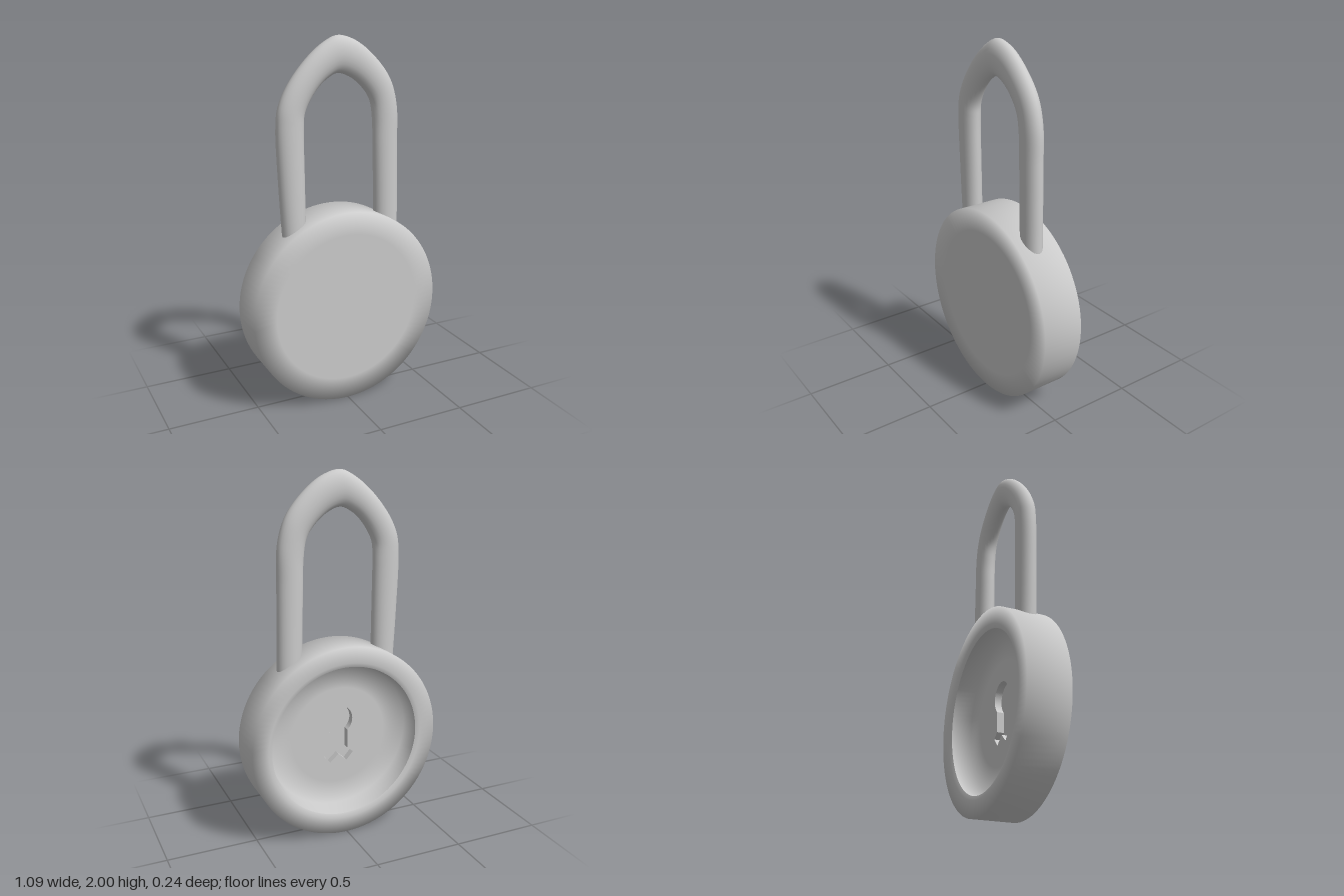
import * as THREE from 'three';

const material = new THREE.MeshStandardMaterial({ color: 0xcccccc });
const shackleMaterial = new THREE.MeshStandardMaterial({ color: 0xcccccc, side: THREE.DoubleSide });
const BODY_Y = 0.545, FLOOR_R = 0.28;

function addMesh(parent, name, geometry, mat = material) {
  const mesh = new THREE.Mesh(geometry, mat);
  mesh.name = name;
  parent.add(mesh);
  return mesh;
}

// Turned part around the z axis, from [radius, z] pairs
function turned(pairs) {
  const points = pairs.map(([r, z]) => new THREE.Vector2(r, z));
  return new THREE.LatheGeometry(points, 96).rotateX(Math.PI / 2);
}

// Round head, straight stem and two splayed feet
function keyholePath() {
  const path = new THREE.Path();
  path.moveTo(0.055, 0.025);
  path.absarc(0, 0.09, 0.085, -0.87, Math.PI + 0.87, false);
  [[-0.055, -0.085], [-0.09, -0.115], [-0.05, -0.16], [0, -0.115],
    [0.05, -0.16], [0.09, -0.115], [0.055, -0.085]].forEach(([x, y]) => path.lineTo(x, y));
  path.closePath();
  return path;
}

// Flattened bar swept between an inner and an outer outline
function shackleGeometry() {
  const curve = (pts) => new THREE.CatmullRomCurve3(pts.map(([x, y]) => new THREE.Vector3(x, y, 0)));
  const outer = curve([[-0.335, 0.94], [-0.352, 1.25], [-0.36, 1.56], [-0.345, 1.66], [-0.29, 1.77], [-0.185, 1.895],
    [-0.09, 1.97], [-0.016, 2], [0.085, 1.973], [0.195, 1.89], [0.29, 1.77], [0.333, 1.63], [0.34, 1.44], [0.345, 1.2], [0.35, 0.94]]);
  const inner = curve([[-0.205, 0.94], [-0.208, 1.25], [-0.21, 1.54], [-0.205, 1.61], [-0.18, 1.67], [-0.13, 1.74],
    [-0.08, 1.783], [-0.02, 1.81], [0.05, 1.79], [0.127, 1.73], [0.175, 1.66], [0.193, 1.56], [0.198, 1.42], [0.205, 1.2], [0.212, 0.94]]);
  const steps = 84, sides = 24, positions = [], index = [];
  for (let i = 0; i <= steps; i++) {
    const a = inner.getPoint(i / steps), b = outer.getPoint(i / steps);
    for (let j = 0; j < sides; j++) {
      const t = (j / sides) * Math.PI * 2;
      const p = a.clone().lerp(b, 0.5 + 0.5 * Math.cos(t));
      positions.push(p.x, p.y, 0.015 + 0.053 * Math.sin(t));
      if (i === steps) continue;
      const k = i * sides + j, n = i * sides + (j + 1) % sides;
      index.push(k, n, k + sides, n, n + sides, k + sides);
    }
  }
  const geometry = new THREE.BufferGeometry();
  geometry.setAttribute('position', new THREE.Float32BufferAttribute(positions, 3));
  geometry.setIndex(index);
  geometry.computeVertexNormals();
  return geometry;
}

export function createModel() {
  const model = new THREE.Group();
  model.name = 'padlock';
  const body = new THREE.Group();
  body.name = 'body';
  body.position.y = BODY_Y;
  model.add(body);

  // Outer case: back rim, side wall and flat front
  addMesh(body, 'case', turned([[0.432, -0.108], [0.455, -0.118], [0.545, -0.118], [0.545, 0.118], [0.42, 0.118], [0, 0.118]]));

  // Recess in the back
  addMesh(body, 'recessWall', turned([[FLOOR_R, 0], [0.415, 0], [0.432, -0.108]]));

  // Recess floor pierced by the keyhole
  const disc = new THREE.Shape().absarc(0, 0, FLOOR_R, 0, Math.PI * 2, false);
  disc.holes.push(keyholePath());
  addMesh(body, 'keyholePlate', new THREE.ExtrudeGeometry(disc, { depth: 0.04, bevelEnabled: false, curveSegments: 48 }));
  addMesh(body, 'keyholeBottom', new THREE.CircleGeometry(0.22, 32).rotateY(Math.PI).translate(0, 0, 0.039));

  addMesh(model, 'shackle', shackleGeometry(), shackleMaterial);
  return model;
}
